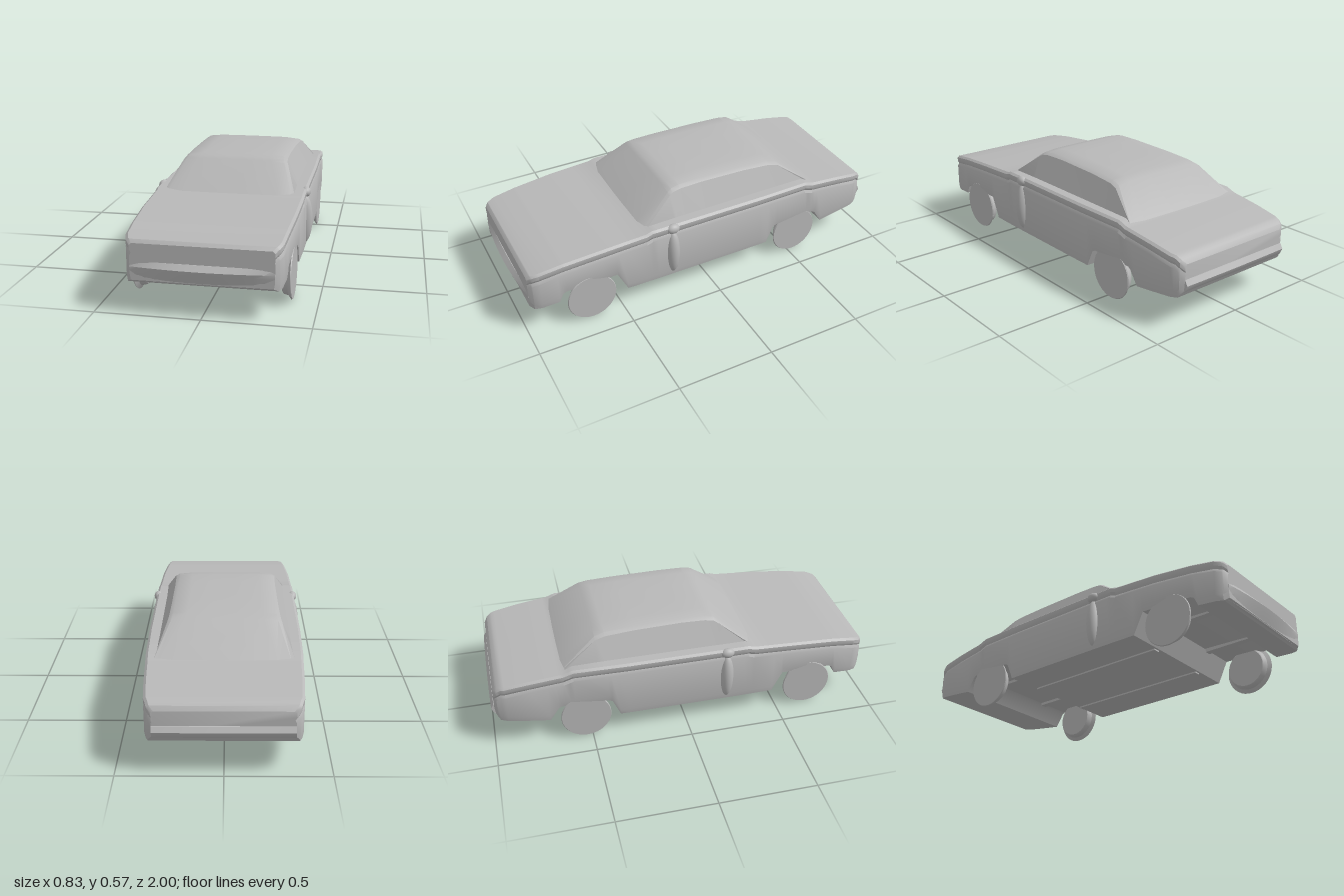
import * as THREE from 'three';
import { toCreasedNormals } from 'three/addons/utils/BufferGeometryUtils.js';

const paint = new THREE.MeshStandardMaterial({ color: 0xb8b8b8 });
paint.name = 'plain grey';

// Linear lookup in a table of [z, value] rows sorted by z
function lookup(table, z) {
  for (let i = 1; i < table.length; i++) {
    const [z0, v0] = table[i - 1], [z1, v1] = table[i];
    if (z <= z1) return v0 + (v1 - v0) * Math.max(0, (z - z0) / (z1 - z0));
  }
  return table[table.length - 1][1];
}

const stations = (...tables) =>
  [...new Set(tables.flat().map(row => row[0]))].sort((a, b) => a - b);

// Skin mirrored half sections, each listed from bottom to top, along z
function loft(zs, halfSection, crease) {
  const pos = [], index = [];
  let n = 0;
  for (const z of zs) {
    const half = halfSection(z);
    const ring = [...half, ...half.map(([x, y]) => [-x, y]).reverse()];
    n = ring.length;
    for (const [x, y] of ring) pos.push(x, y, z);
  }
  for (let j = 0; j < zs.length - 1; j++) {
    for (let i = 0; i < n; i++) {
      const a = j * n + i, b = j * n + (i + 1) % n;
      index.push(a, b, b + n, a, b + n, a + n);
    }
  }
  const last = (zs.length - 1) * n;
  for (let i = 1; i < n - 1; i++) {
    index.push(0, i + 1, i, last, last + i, last + i + 1);
  }
  const geo = new THREE.BufferGeometry();
  geo.setAttribute('position', new THREE.Float32BufferAttribute(pos, 3));
  geo.setIndex(index);
  return toCreasedNormals(geo, crease);
}

// Body outline: underside with wheel arches, upper line and half width
const underside = [
  [-0.98, 0.2], [-0.955, 0.16], [-0.71, 0.13], [-0.665, 0.2], [-0.65, 0.21],
  [-0.41, 0.21], [-0.39, 0.2], [-0.35, 0.11], [0.47, 0.11], [0.515, 0.2],
  [0.525, 0.22], [0.79, 0.21], [0.81, 0.2], [0.83, 0.155], [0.955, 0.145], [0.975, 0.16],
];
const upperLine = [
  [-0.98, 0.325], [-0.965, 0.345], [-0.94, 0.363], [-0.8, 0.385], [-0.63, 0.405],
  [-0.58, 0.422], [0.33, 0.422], [0.36, 0.412], [0.6, 0.398], [0.8, 0.38],
  [0.92, 0.362], [0.96, 0.35], [0.975, 0.335],
];
const halfWidth = [
  [-0.98, 0.325], [-0.965, 0.345], [-0.92, 0.362], [-0.8, 0.37], [-0.6, 0.378],
  [-0.3, 0.385], [0.3, 0.385], [0.6, 0.38], [0.8, 0.37], [0.92, 0.362],
  [0.955, 0.35], [0.975, 0.33],
];

function bodySection(z) {
  const b = lookup(underside, z), t = lookup(upperLine, z), w = lookup(halfWidth, z);
  return [[w - 0.005, b], [w, b + 0.03], [w, t - 0.06], [w - 0.008, t - 0.045],
    [w, t - 0.03], [w, t - 0.01], [w - 0.012, t]];
}

// Cabin: the side glass leans inward with height
const roofLine = [
  [-0.63, 0.405], [-0.45, 0.544], [-0.4, 0.556], [-0.25, 0.565], [0, 0.57],
  [0.12, 0.567], [0.165, 0.56], [0.185, 0.548], [0.36, 0.412],
];

function cabinSection(z) {
  const t = lookup(roofLine, z);
  const e = Math.max(t - 0.02, 0.4);
  const x = 0.34 - Math.max(0, e - 0.42) * 0.56;
  return [[0.34, 0.39], [x, e], [x - 0.02, Math.max(t - 0.008, e)], [x - 0.09, t - 0.001], [0.06, t]];
}

// Bumper: wedge profile swept across the car; bow pulls its ends in
function bumperGeometry(profile, width, bow, turn) {
  const shape = new THREE.Shape(profile.map(p => new THREE.Vector2(...p)));
  const geo = new THREE.ExtrudeGeometry(shape, { depth: width, steps: 14, bevelEnabled: false });
  geo.translate(0, 0, -width / 2);
  const p = geo.attributes.position;
  for (let i = 0; i < p.count; i++) {
    const k = (2 * p.getZ(i) / width) ** 2;
    p.setX(i, 0.965 + (p.getX(i) - 0.965) * (1 - bow * k));
  }
  geo.rotateY(turn);
  return toCreasedNormals(geo, 0.5);
}

export function createModel() {
  const car = new THREE.Group();
  car.name = 'car';
  const add = (name, geo, x = 0, y = 0, z = 0) => {
    const mesh = new THREE.Mesh(geo, paint);
    mesh.name = name;
    mesh.position.set(x, y, z);
    car.add(mesh);
    return mesh;
  };

  add('body', loft(stations(underside, upperLine, halfWidth), bodySection, 0.5));
  add('cabin', loft(stations(roofLine), cabinSection, 0.45));

  add('frontBumper', bumperGeometry(
    [[0.96, 0.15], [0.972, 0.155], [0.993, 0.205], [1, 0.225], [0.978, 0.25], [0.96, 0.25]],
    0.66, 0.65, -Math.PI / 2));
  add('rearBumper', bumperGeometry(
    [[0.95, 0.17], [0.985, 0.195], [1, 0.225], [0.985, 0.25], [0.95, 0.255]],
    0.65, 0.1, Math.PI / 2));

  // Wheels: narrow discs with a raised outer rim
  const wheelProfile = [[0, 0], [0.1, 0], [0.106, 0.006], [0.112, 0.028], [0.13, 0.042], [0.127, 0.047], [0, 0.047]]
    .map(p => new THREE.Vector2(...p));
  const wheelGeo = toCreasedNormals(new THREE.LatheGeometry(wheelProfile, 40), 0.6);
  for (const side of [1, -1]) {
    const sideName = side > 0 ? 'left' : 'right';
    for (const [end, z] of [['Front', 0.665], ['Rear', -0.528]]) {
      add(`${sideName}${end}Wheel`, wheelGeo, side * 0.33, 0.13, z).rotation.z = -side * Math.PI / 2;
    }

    // Door pillar swelling and mirror
    const pillar = new THREE.SphereGeometry(1, 24, 16);
    pillar.scale(0.042, 0.13, 0.036);
    add(`${sideName}DoorSwelling`, pillar, side * 0.372, 0.255, 0.215);
    const mirror = new THREE.SphereGeometry(1, 20, 12);
    mirror.scale(0.024, 0.026, 0.035);
    add(`${sideName}Mirror`, mirror, side * 0.378, 0.401, 0.215);

    // Underfloor rails
    add(`${sideName}FloorRail`, new THREE.BoxGeometry(0.035, 0.02, 0.8), side * 0.18, 0.112, 0.06);
    add(`${sideName}FrontRail`, new THREE.BoxGeometry(0.035, 0.02, 0.26), side * 0.18, 0.21, 0.66);
    add(`${sideName}RearRail`, new THREE.BoxGeometry(0.035, 0.02, 0.24), side * 0.18, 0.205, -0.53);
  }
  return car;
}
